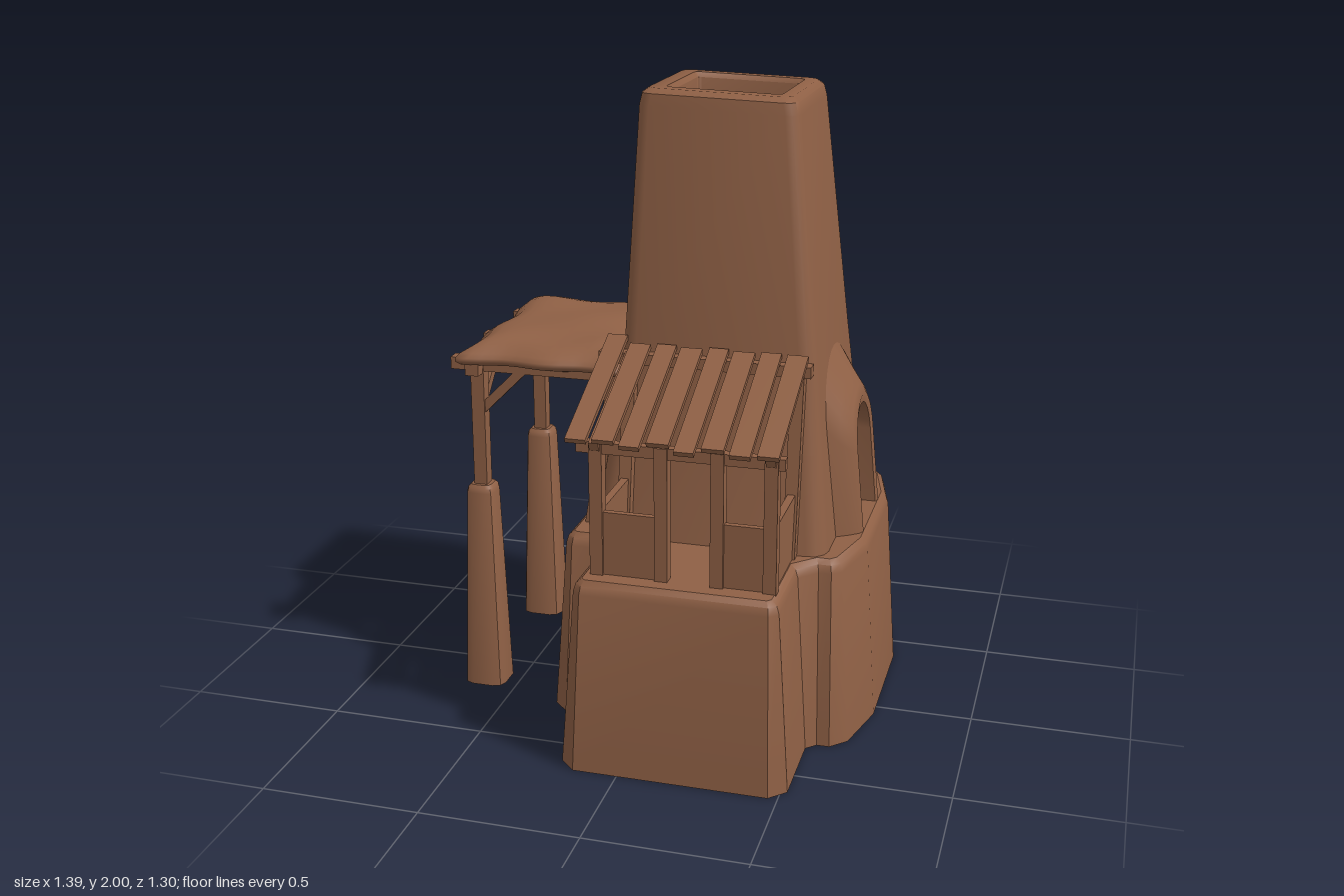
import * as THREE from 'three';
import { mergeVertices, toCreasedNormals } from 'three/addons/utils/BufferGeometryUtils.js';

const clay = new THREE.MeshStandardMaterial({ color: 0x8f6045, side: THREE.DoubleSide });
clay.name = 'brown clay';

function add(parent, name, geometry) {
  const mesh = new THREE.Mesh(geometry, clay);
  mesh.name = name;
  parent.add(mesh);
  return mesh;
}

// Skin through rings of [x, y, z] points; the last ring can be capped
function loft(rings, { closed = true, cap = false, crease = 0.7 } = {}) {
  const n = rings[0].length, index = [];
  const geo = new THREE.BufferGeometry();
  geo.setAttribute('position', new THREE.Float32BufferAttribute(rings.flat(2), 3));
  for (let i = 0; i < rings.length - 1; i++) {
    for (let j = 0; j < (closed ? n : n - 1); j++) {
      const a = i * n + j, b = i * n + (j + 1) % n;
      index.push(a, b, b + n, a, b + n, a + n);
    }
  }
  if (cap) {
    const base = (rings.length - 1) * n;
    const flat = rings.at(-1).map(([x, , z]) => new THREE.Vector2(x, -z));
    for (const f of THREE.ShapeUtils.triangulateShape(flat, [])) index.push(...f.map(k => k + base));
  }
  geo.setIndex(index);
  return toCreasedNormals(geo, crease);
}

// Rounded rectangle ring, counter-clockwise from above
function rectRing(x0, x1, z0, z1, r, y, steps = 3) {
  const pts = [];
  [[x1 - r, z0 + r], [x0 + r, z0 + r], [x0 + r, z1 - r], [x1 - r, z1 - r]].forEach(([cx, cz], q) => {
    for (let s = 0; s <= steps; s++) {
      const a = (q + s / steps) * Math.PI / 2;
      pts.push([cx + r * Math.cos(a), y, cz - r * Math.sin(a)]);
    }
  });
  return pts;
}

// Outline moved inward by d with mitred corners
function insetRing(outline, d, y) {
  const n = outline.length;
  const normal = (p, q) => new THREE.Vector2(q[1] - p[1], p[0] - q[0]).normalize();
  return outline.map((p, i) => {
    const a = normal(outline[(i + n - 1) % n], p), b = normal(p, outline[(i + 1) % n]);
    const k = d / (1 + a.dot(b));
    return [p[0] + (a.x + b.x) * k, y, p[1] + (a.y + b.y) * k];
  });
}

// Square timber between two points
function bar(parent, name, a, b, w = 0.04, h = w) {
  const from = new THREE.Vector3(...a), to = new THREE.Vector3(...b);
  const mesh = add(parent, name, new THREE.BoxGeometry(w, h, from.distanceTo(to)));
  mesh.position.copy(from).lerp(to, 0.5);
  mesh.lookAt(to);
  return mesh;
}

function box(parent, name, x0, x1, y0, y1, z0, z1) {
  const mesh = add(parent, name, new THREE.BoxGeometry(x1 - x0, y1 - y0, z1 - z0));
  mesh.position.set((x0 + x1) / 2, (y0 + y1) / 2, (z0 + z1) / 2);
}

function makeTower(root) {
  // Hollow plinth, open underneath
  const outline = [
    [0.69, 0.05], [0.69, -0.38], [0.64, -0.59], [0.59, -0.65], [-0.28, -0.65], [-0.33, -0.60],
    [-0.33, 0.25], [-0.28, 0.30], [-0.19, 0.30], [-0.19, 0.60], [-0.14, 0.65], [0.47, 0.65],
    [0.52, 0.60], [0.52, 0.33], [0.55, 0.30], [0.59, 0.30], [0.64, 0.25],
  ];
  add(root, 'plinth', loft(
    [[0, 0], [0.04, 0.57], [0.048, 0.595], [0.065, 0.61]].map(([d, y]) => insetRing(outline, d, y)), { cap: true }));

  // Tapered chimney shaft with a sunken top
  const rings = [
    rectRing(-0.21, 0.55, -0.55, 0.24, 0.06, 0.6),
    rectRing(-0.165, 0.515, -0.5, 0.19, 0.055, 0.92),
    rectRing(-0.13, 0.485, -0.46, 0.15, 0.05, 1.2),
    rectRing(-0.092, 0.405, -0.4, 0.092, 0.04, 1.95),
    rectRing(-0.085, 0.397, -0.393, 0.085, 0.04, 1.985),
    rectRing(-0.065, 0.378, -0.373, 0.065, 0.035, 2.0),
    rectRing(-0.02, 0.34, -0.335, 0.02, 0.02, 2.0),
    rectRing(-0.008, 0.328, -0.323, 0.008, 0.012, 1.985),
    rectRing(-0.008, 0.328, -0.323, 0.008, 0.012, 1.75),
  ];
  for (const ring of rings.slice(3)) for (const p of ring) p[1] -= 0.03 * Math.max(0, p[0] + 0.06);
  add(root, 'chimneyTower', loft(rings, { cap: true }));

  // Arched doorway swelling out of the wall
  const arch = (half, top, out) => {
    const pts = [], spring = top - half;
    const put = (z, y) => pts.push([0.55 - (y - 0.61) * 0.1 + out, y, -0.155 + z]);
    put(-half, 0.6);
    for (let i = 0; i <= 14; i++) {
      const a = Math.PI * (1 - i / 14);
      put(half * Math.cos(a), spring + half * Math.sin(a));
    }
    put(half, 0.6);
    return pts;
  };
  add(root, 'doorwaySurround', loft([
    arch(0.22, 1.19, -0.012), arch(0.19, 1.1, 0.035), arch(0.165, 1.05, 0.065),
    arch(0.145, 1.02, 0.076), arch(0.125, 0.99, 0.07), arch(0.125, 0.99, -0.01),
  ], { closed: false }));
}

function makePorch(root) {
  const porch = new THREE.Group();
  porch.name = 'porch';
  root.add(porch);
  for (const x of [-0.09, 0.11, 0.28, 0.44]) box(porch, 'porchPost', x - 0.02, x + 0.02, 0.6, 1.03, 0.5, 0.54);
  box(porch, 'porchHeader', -0.15, 0.48, 0.995, 1.03, 0.505, 0.535);
  // Low walls between posts and back to the tower
  for (const [x0, x1] of [[-0.08, 0.1], [0.29, 0.43]]) box(porch, 'frontLowWall', x0, x1, 0.6, 0.81, 0.51, 0.53);
  for (const x of [-0.09, 0.44]) {
    box(porch, 'sideLowWall', x - 0.012, x + 0.012, 0.6, 0.81, 0.2, 0.51);
    bar(porch, 'leaningPost', [x, 0.6, 0.255], [x, 1.19, 0.165]);
    bar(porch, 'rafter', [x, 1.02, 0.55], [x, 1.19, 0.17], 0.03);
  }
  box(porch, 'ledgerBeam', -0.19, 0.48, 1.165, 1.2, 0.14, 0.185);
  // Sloping roof boards with uneven ends
  for (let i = 0; i < 8; i++) {
    const x = -0.14 + i * 0.0823, k = 0.008 * Math.sin(i * 2.7);
    const back = i === 0 ? 0.135 : 0.165 + k;
    const slope = z => 1.04 + (0.57 - z) * 0.455 + k * 0.4;
    bar(porch, 'roofBoard', [x, slope(0.57 - k), 0.57 - k], [x, slope(back), back], 0.064 + k * 0.5, 0.016);
  }
}

function makeCanopy(root) {
  const canopy = new THREE.Group();
  canopy.name = 'sideCanopy';
  root.add(canopy);
  for (const z of [0.13, -0.445]) {
    // Thick tapered footing
    const foot = [[0.07, 0], [0.047, 0.68], [0.043, 0.695], [0.034, 0.705]].map(([r, y]) =>
      rectRing(-0.61 - r, -0.61 + r, z - r, z + r, r * 0.5, y, 2));
    add(canopy, 'postFooting', loft(foot, { cap: true }));
    box(canopy, 'canopyPost', -0.632, -0.588, 0.69, 1.1, z - 0.022, z + 0.022);
    bar(canopy, 'canopyBrace', [-0.61, 0.95, z], [-0.45, 1.11, z], 0.03);
    const inward = z > 0 ? -1 : 1;
    bar(canopy, 'sideBrace', [-0.61, 0.97, z], [-0.61, 1.1, z + inward * 0.13], 0.03);
    bar(canopy, 'wallPost', [-0.235, 0.6, z], [-0.15, 1.12, z]);
  }
  for (const z of [0.125, -0.16, -0.445]) box(canopy, 'crossBeam', -0.7, -0.12, 1.09, 1.13, z - 0.022, z + 0.022);
  box(canopy, 'edgeBeam', -0.635, -0.59, 1.085, 1.125, -0.53, 0.19);

  // Lumpy thatch slab: pillowed edges, wavy outline
  let slab = new THREE.BoxGeometry(1, 1, 1, 14, 3, 16);
  slab.deleteAttribute('uv');
  slab.deleteAttribute('normal');
  slab = mergeVertices(slab);
  const p = slab.attributes.position;
  for (let i = 0; i < p.count; i++) {
    const u = p.getX(i) * 2, v = p.getY(i) * 2, w = p.getZ(i) * 2;
    const edge = Math.max(Math.abs(u), Math.abs(w));
    const pinch = 1 - 0.55 * Math.pow(edge, 8);
    const rim = 1 - 0.05 * v * v * Math.pow(edge, 4);
    const x = -0.39 + u * (0.265 * rim + 0.012 * Math.sin(w * 7));
    const z = -0.16 + w * (0.355 * rim + 0.012 * Math.sin(u * 6 + w));
    const y = 1.152 + v * 0.042 * pinch + 0.006 * Math.sin(u * 4 + 1) * Math.cos(w * 5) - 0.012 * Math.pow(edge, 6);
    p.setXYZ(i, x, y, z);
  }
  slab.computeVertexNormals();
  add(canopy, 'thatchSlab', slab);
}

export function createModel() {
  const root = new THREE.Group();
  root.name = 'kilnTower';
  makeTower(root);
  makePorch(root);
  makeCanopy(root);
  return root;
}
